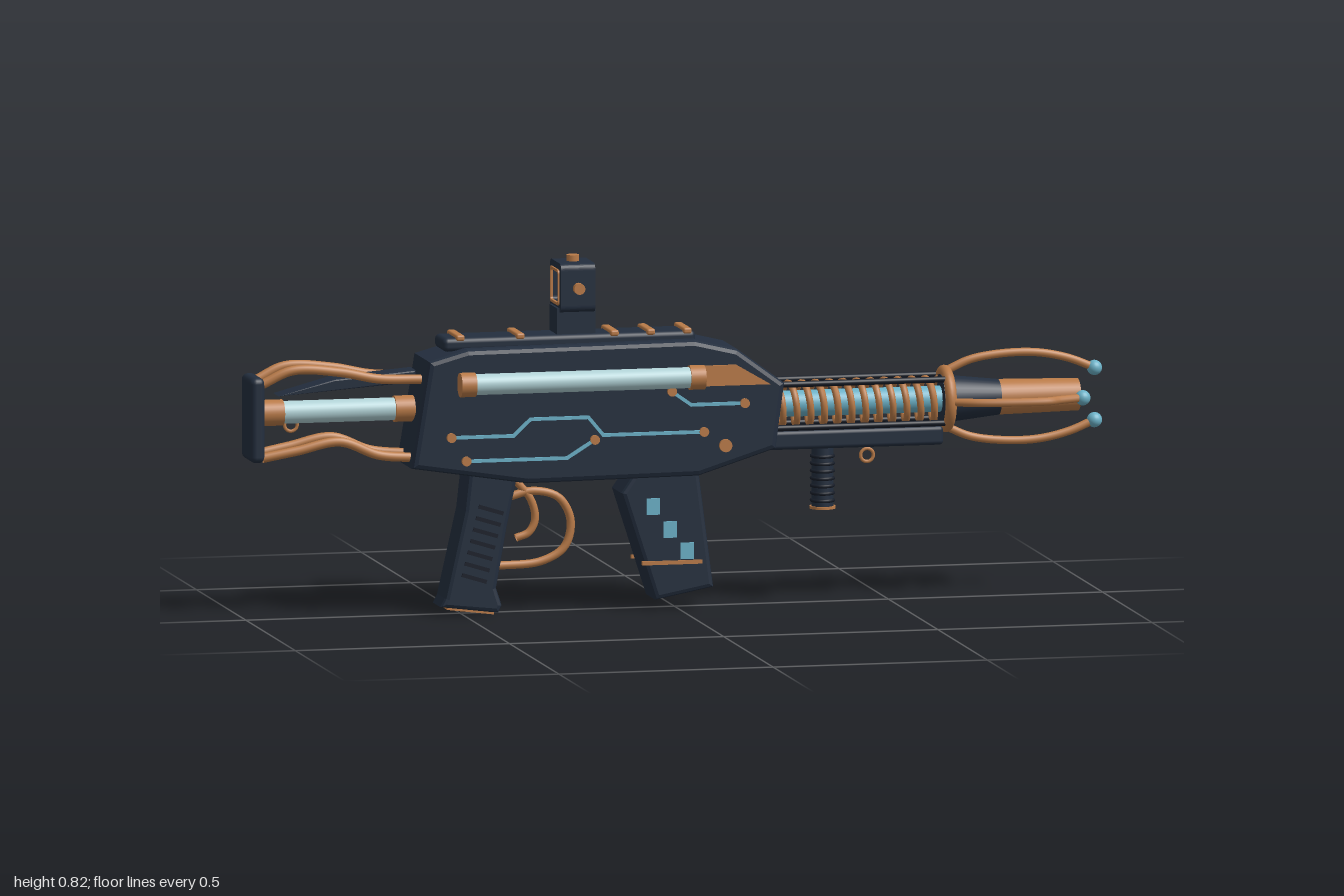
import * as THREE from 'three';
import { RoundedBoxGeometry } from 'three/addons/geometries/RoundedBoxGeometry.js';

const material = (name, color) => Object.assign(new THREE.MeshStandardMaterial({ color }), { name });
const navy = material('navy shell', 0x232e3e);
const black = material('black rubber', 0x171d28);
const copper = material('copper', 0xba7b48);
const teal = material('teal glow', 0x6cb2c8);
const glass = material('pale glass', 0xb2d3d7);
copper.side = THREE.DoubleSide;

const AXIS = 0.456; // barrel height
const V = (x, y, z) => new THREE.Vector3(x, y, z);

export function createModel() {
  const root = new THREE.Group();
  root.name = 'coilRifle';

  const add = (name, geo, mat, x = 0, y = 0, z = 0) => {
    const m = new THREE.Mesh(geo, mat);
    m.name = name;
    m.position.set(x, y, z);
    root.add(m);
    return m;
  };
  const box = (name, mat, x, y, z, w, h, d) => add(name, new THREE.BoxGeometry(w, h, d), mat, x, y, z);
  const rounded = (name, mat, x, y, z, w, h, d, r) => add(name, new RoundedBoxGeometry(w, h, d, 3, r), mat, x, y, z);
  // cylinder along x from x0 to x1
  const rod = (name, mat, x0, x1, y, z, r0, r1 = r0, open = false) => {
    const g = new THREE.CylinderGeometry(r1, r0, x1 - x0, 32, 1, open).rotateZ(-Math.PI / 2);
    return add(name, g, mat, (x0 + x1) / 2, y, z);
  };
  const wire = (name, mat, pts, r) =>
    add(name, new THREE.TubeGeometry(new THREE.CatmullRomCurve3(pts), 40, r, 10), mat);
  // side outline extruded across z, with bevelled rims
  const slab = (name, mat, pts, half, bevel = 0.01, z = 0) => {
    const shape = new THREE.Shape(pts.map(p => new THREE.Vector2(p[0], p[1])));
    const g = new THREE.ExtrudeGeometry(shape, {
      depth: 2 * (half - bevel), bevelEnabled: bevel > 0, bevelSize: bevel,
      bevelThickness: bevel, bevelOffset: -bevel, bevelSegments: 2,
    });
    return add(name, g.translate(0, 0, bevel - half), mat, 0, 0, z);
  };
  // thin painted line on one flank, with studs at its ends
  const circuit = (side, pts) => {
    const z = side * 0.084;
    for (let i = 0; i < pts.length - 1; i++) {
      const [a, b] = [pts[i], pts[i + 1]];
      const dx = b[0] - a[0], dy = b[1] - a[1];
      box('circuitLine', teal, (a[0] + b[0]) / 2, (a[1] + b[1]) / 2, z,
        Math.hypot(dx, dy) + 0.005, 0.008, 0.006).rotation.z = Math.atan2(dy, dx);
    }
    for (const p of [pts[0], pts[pts.length - 1]]) stud(side, p[0], p[1], 0.011);
  };
  const stud = (side, x, y, r) =>
    add('stud', new THREE.CylinderGeometry(r, r, 0.014, 16).rotateX(Math.PI / 2), copper, x, y, side * 0.084);

  // Receiver
  slab('receiver', navy, [[-0.63, 0.345], [-0.36, 0.303], [0.04, 0.308], [0.22, 0.365], [0.24, 0.515],
    [0.13, 0.596], [0.03, 0.62], [-0.5, 0.615], [-0.59, 0.59]], 0.083, 0.012);
  for (const s of [1, -1]) {
    slab('noseInlay', copper, [[0.03, 0.515], [0.205, 0.515], [0.125, 0.562], [0.03, 0.562]], 0.005, 0, s * 0.085);
    rod('energyTube', glass, -0.5, 0.02, 0.539, s * 0.107, 0.024);
    rod('tubeCapRear', copper, -0.525, -0.49, 0.539, s * 0.107, 0.028);
    rod('tubeCapFront', copper, 0.01, 0.045, 0.539, s * 0.107, 0.028);
  }
  circuit(1, [[-0.54, 0.415], [-0.395, 0.415], [-0.355, 0.452], [-0.22, 0.452], [-0.185, 0.41], [0.05, 0.41]]);
  circuit(1, [[-0.505, 0.36], [-0.27, 0.36], [-0.205, 0.4]]);
  circuit(1, [[-0.025, 0.505], [0.02, 0.473], [0.145, 0.473]]);
  stud(1, 0.1, 0.377, 0.015);
  circuit(-1, [[0.14, 0.43], [0.03, 0.43], [-0.02, 0.39], [-0.14, 0.39]]);
  circuit(-1, [[-0.2, 0.42], [-0.27, 0.365], [-0.37, 0.365], [-0.41, 0.4], [-0.54, 0.4]]);
  circuit(-1, [[-0.3, 0.335], [-0.49, 0.35]]);

  // Framed gauge on the far flank
  for (const s of [1, -1]) {
    box('gaugeFrame', copper, -0.23, 0.46 + s * 0.03, -0.085, 0.15, 0.01, 0.01);
    box('gaugeFrame', copper, -0.23 + s * 0.07, 0.46, -0.085, 0.01, 0.06, 0.01);
  }
  for (let i = 0; i < 4; i++) box('gaugeBar', copper, -0.275 + i * 0.027, 0.46, -0.084, 0.012, 0.034, 0.006);
  const handle = add('boltHandle', new THREE.CapsuleGeometry(0.014, 0.12, 6, 16), copper, -0.445, 0.566, -0.1);
  handle.rotation.z = Math.PI / 2;

  // Top rail
  rounded('rail', navy, -0.255, 0.622, 0, 0.59, 0.032, 0.094, 0.012);
  for (const x of [-0.51, -0.37, -0.15, -0.065, 0.02]) rounded('railRib', copper, x, 0.638, 0, 0.02, 0.014, 0.1, 0.005);

  // Sight: neck and hollow housing
  box('sightNeck', navy, -0.238, 0.668, 0, 0.09, 0.06, 0.076);
  const square = (S, w, r) => {
    const s = new S();
    s.moveTo(-w + r, -w);
    for (const [sx, sy, ex, ey] of [[1, -1, 0, 1], [1, 1, -1, 0], [-1, 1, 0, -1], [-1, -1, 1, 0]]) {
      const cx = sx * w, cy = sy * w;
      s.lineTo(ex ? cx : cx - sx * r, ex ? cy - sy * r : cy);
      s.quadraticCurveTo(cx, cy, cx + ex * r, cy + ey * r);
    }
    s.closePath();
    return s;
  };
  const frame = (name, mat, x, outer, inner, r, depth) => {
    const s = square(THREE.Shape, outer, r);
    s.holes.push(square(THREE.Path, inner, r * 0.6));
    const g = new THREE.ExtrudeGeometry(s, { depth, bevelEnabled: false }).translate(0, 0, -depth / 2);
    return add(name, g.rotateY(Math.PI / 2), mat, x, 0.745, 0);
  };
  frame('sightHousing', navy, -0.237, 0.056, 0.037, 0.016, 0.08);
  frame('sightLensFrame', teal, -0.196, 0.041, 0.035, 0.01, 0.006);
  frame('sightRearFrame', copper, -0.278, 0.041, 0.035, 0.01, 0.006);
  add('sightKnob', new THREE.CylinderGeometry(0.013, 0.013, 0.016, 16).rotateX(Math.PI / 2), copper, -0.237, 0.745, 0.065);
  add('sightTopKnob', new THREE.CylinderGeometry(0.015, 0.015, 0.018, 12), copper, -0.237, 0.806, 0);

  // Stock: butt plate, tube, strut and four bent wires
  rounded('buttPlate', navy, -0.983, 0.463, 0, 0.034, 0.196, 0.106, 0.014);
  rod('stockTube', glass, -0.92, -0.64, 0.474, 0, 0.026);
  rod('stockCapRear', copper, -0.967, -0.915, 0.474, 0, 0.03);
  rod('stockCapFront', copper, -0.655, -0.61, 0.474, 0, 0.03);
  slab('stockStrut', navy, [[-0.93, 0.515], [-0.61, 0.538], [-0.61, 0.565], [-0.8, 0.55]], 0.03, 0.004);
  for (const s of [1, -1]) {
    wire('stockWireUpper', copper, [V(-0.97, 0.545, s * 0.035), V(-0.9, 0.575, s * 0.04),
      V(-0.79, 0.568, s * 0.042), V(-0.7, 0.55, s * 0.042), V(-0.6, 0.545, s * 0.035)], 0.011);
    wire('stockWireLower', copper, [V(-0.97, 0.375, s * 0.035), V(-0.89, 0.39, s * 0.04),
      V(-0.79, 0.408, s * 0.042), V(-0.7, 0.375, s * 0.042), V(-0.6, 0.365, s * 0.035)], 0.011);
  }
  add('slingRingRear', new THREE.TorusGeometry(0.015, 0.004, 8, 20), copper, -0.895, 0.445, 0);

  // Coil barrel
  rod('barrelCore', teal, 0.2, 0.64, AXIS, 0, 0.03);
  const coil = [];
  for (let i = 0; i <= 240; i++) {
    const a = (i / 20) * Math.PI * 2;
    coil.push(V(0.235 + (0.385 * i) / 240, AXIS + 0.047 * Math.cos(a), 0.047 * Math.sin(a)));
  }
  add('barrelCoil', new THREE.TubeGeometry(new THREE.CatmullRomCurve3(coil), 480, 0.008, 8), copper);
  for (const s of [1, -1]) {
    rod('barrelRodUpper', black, 0.2, 0.63, AXIS + 0.05, s * 0.042, 0.007);
    rod('barrelRodLower', black, 0.2, 0.63, AXIS - 0.05, s * 0.042, 0.007);
  }
  rounded('barrelShroud', navy, 0.415, 0.377, 0, 0.41, 0.044, 0.084, 0.01);
  add('barrelRing', new THREE.TorusGeometry(0.064, 0.013, 14, 40).rotateY(Math.PI / 2), copper, 0.632, AXIS, 0);

  // Muzzle
  rod('muzzleCone', navy, 0.62, 0.78, AXIS, 0, 0.056, 0.038);
  rod('muzzleSleeve', copper, 0.74, 0.942, AXIS, 0, 0.041, 0.037, true);
  add('muzzleRim', new THREE.RingGeometry(0.027, 0.037, 32).rotateY(Math.PI / 2), navy, 0.942, AXIS, 0);
  add('muzzleInnerRing', new THREE.TorusGeometry(0.028, 0.002, 8, 32).rotateY(Math.PI / 2), copper, 0.942, AXIS, 0);
  rod('muzzleBore', black, 0.78, 0.93, AXIS, 0, 0.03);

  // Four prongs with glowing tips
  for (let i = 0; i < 4; i++) {
    const a = (i * Math.PI) / 2, end = i % 2 ? 0.94 : 0.981;
    const at = (x, r) => V(x, AXIS + r * Math.cos(a), r * Math.sin(a));
    wire('prong', copper, [at(0.63, 0.062), at(0.69, 0.088), at(0.77, 0.1), at(0.85, 0.099),
      at(end - 0.06, 0.084), at(end, 0.06)], 0.0095);
    add('prongTip', new THREE.SphereGeometry(0.0175, 20, 14), teal, ...at(end, 0.06).toArray());
  }

  // Foregrip and sling ring
  add('foregrip', new THREE.CylinderGeometry(0.025, 0.025, 0.145, 24), navy, 0.346, 0.287, 0);
  for (let i = 0; i < 7; i++) add('foregripRib', new THREE.TorusGeometry(0.025, 0.004, 8, 24).rotateX(Math.PI / 2), black, 0.346, 0.232 + i * 0.017, 0);
  add('foregripBand', new THREE.CylinderGeometry(0.03, 0.03, 0.006, 24), copper, 0.346, 0.216, 0);
  add('slingRingFront', new THREE.TorusGeometry(0.015, 0.004, 8, 20), copper, 0.45, 0.332, 0);

  // Pistol grip
  slab('pistolGrip', navy, [[-0.545, 0.04], [-0.555, 0.02], [-0.42, 0.003], [-0.412, 0.02], [-0.425, 0.06],
    [-0.4, 0.2], [-0.375, 0.32], [-0.49, 0.33], [-0.5, 0.24]], 0.048, 0.01);
  box('gripBase', copper, -0.484, 0.009, 0, 0.11, 0.006, 0.076).rotation.z = -0.126;
  for (const s of [1, -1]) for (let i = 0; i < 7; i++)
    box('gripGroove', black, -0.478 + i * 0.0065, 0.085 + i * 0.026, s * 0.048, 0.06, 0.009, 0.006).rotation.z = -0.3;

  // Trigger and guard
  wire('triggerGuard', copper, [V(-0.39, 0.262, 0), V(-0.33, 0.275, 0), V(-0.27, 0.258, 0), V(-0.242, 0.205, 0),
    V(-0.256, 0.145, 0), V(-0.31, 0.113, 0), V(-0.42, 0.105, 0)], 0.0095);
  wire('trigger', copper, [V(-0.37, 0.3, 0), V(-0.335, 0.255, 0), V(-0.325, 0.21, 0), V(-0.34, 0.18, 0), V(-0.37, 0.168, 0)], 0.009);

  // Magazine with lit cells and copper band
  slab('magazine', navy, [[-0.055, 0.022], [0.08, 0.048], [0.045, 0.32], [-0.1, 0.32], [-0.135, 0.27]], 0.056, 0.01);
  for (const s of [1, -1]) {
    box('magazineBand', copper, -0.018, 0.108, s * 0.056, 0.14, 0.009, 0.008);
    for (const [x, y] of [[-0.062, 0.238], [-0.023, 0.184], [0.017, 0.134]])
      box('magazineCell', teal, x, y, s * 0.056, 0.031, 0.038, 0.006);
  }
  return root;
}
